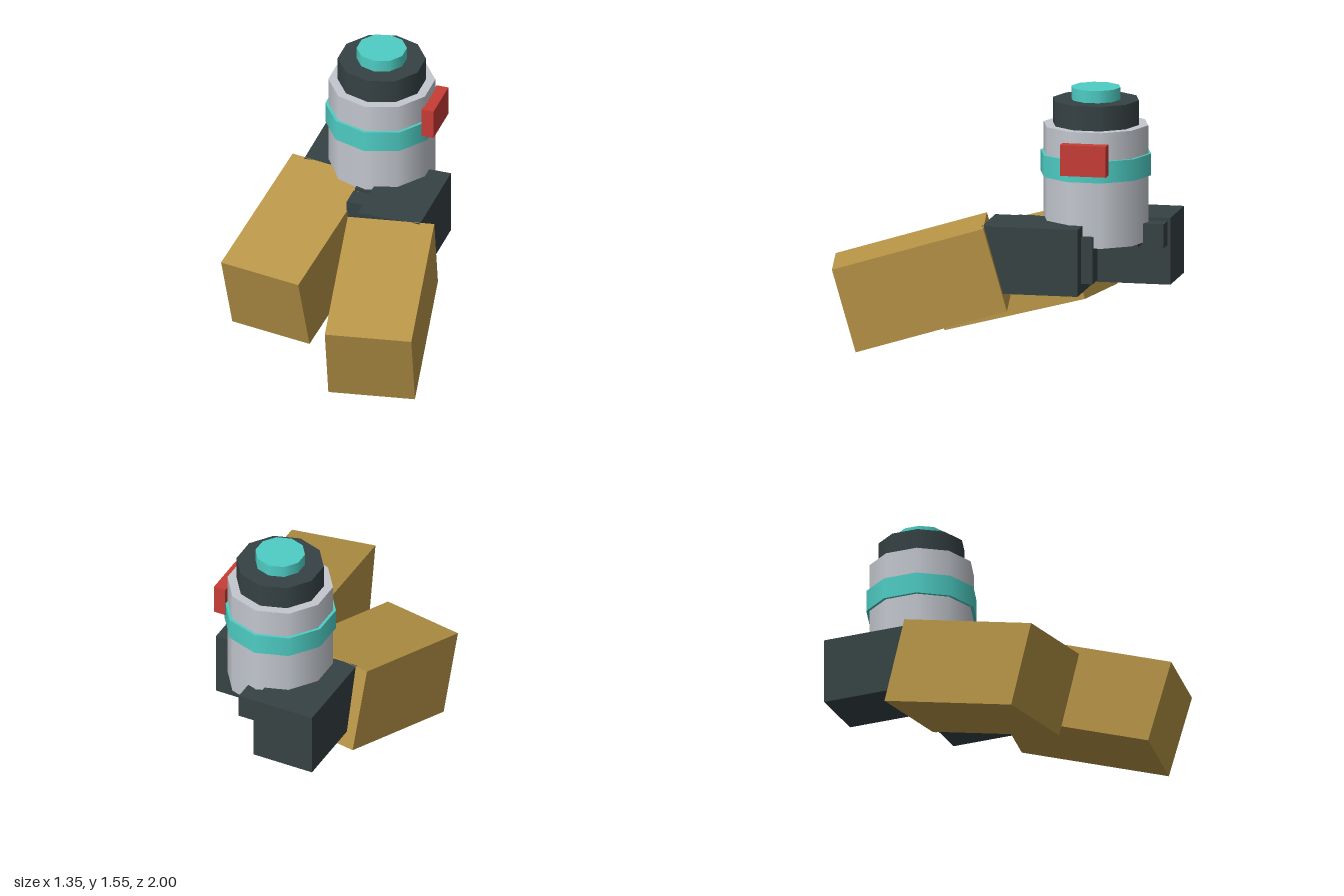
import * as THREE from 'three';

const paint = (name, hex) => {
  const m = new THREE.MeshStandardMaterial({ color: hex });
  m.name = name;
  return m;
};

export function createModel() {
  const ochre = paint('ochre', 0xb89547);
  const charcoal = paint('charcoal', 0x364244);
  const silver = paint('silver', 0xc3c7ce);
  const teal = paint('teal', 0x4ecdc4);
  const red = paint('red', 0xc83c36);

  const model = new THREE.Group();
  model.name = 'model';

  const add = (parent, name, geometry, material, x, y, z) => {
    const mesh = new THREE.Mesh(geometry, material);
    mesh.name = name;
    mesh.position.set(x, y, z);
    parent.add(mesh);
    return mesh;
  };
  const box = (w, h, d) => new THREE.BoxGeometry(w, h, d);

  // Ten-sided stacked tower
  const tower = new THREE.Group();
  tower.name = 'tower';
  tower.position.z = -0.558;
  model.add(tower);
  const drum = (name, radius, bottom, top, material) =>
    add(tower, name, new THREE.CylinderGeometry(radius, radius, top - bottom, 10),
      material, 0, (bottom + top) / 2, 0);
  drum('body', 0.319, 0.62, 1.322, silver);
  drum('band', 0.337, 1.02, 1.151, teal);
  drum('collar', 0.263, 1.322, 1.471, charcoal);
  drum('cap', 0.15, 1.471, 1.545, teal);
  add(tower, 'sidePanel', box(0.075, 0.187, 0.28), red, 0.334, 1.16, 0);

  // Two staggered halves: a dark block with a sloping angled leg in front
  for (const [side, shift, label] of [[1, 0, 'left'], [-1, -0.46, 'right']]) {
    const half = new THREE.Group();
    half.name = label + 'Half';
    half.position.z = shift;
    model.add(half);
    add(half, label + 'Block', box(0.39, 0.405, 0.585), charcoal, side * 0.245, 0.552, -0.248);
    const leg = add(half, label + 'Leg', box(0.522, 0.52, 0.938), ochre, side * 0.329, 0.3775, 0.436);
    leg.rotation.set(0.276, side * 0.17, 0, 'YXZ');
  }

  // Tab on the back of the forward block
  add(model, 'rearTab', box(0.14, 0.283, 0.09), charcoal, 0.265, 0.55, -0.565);

  // Row of links joining the halves
  for (let i = 0; i < 6; i++) {
    add(model, 'link' + (i + 1), box(0.12, 0.147, 0.13), charcoal, 0, 0.662, -0.14 - i * 0.1555);
  }
  return model;
}
